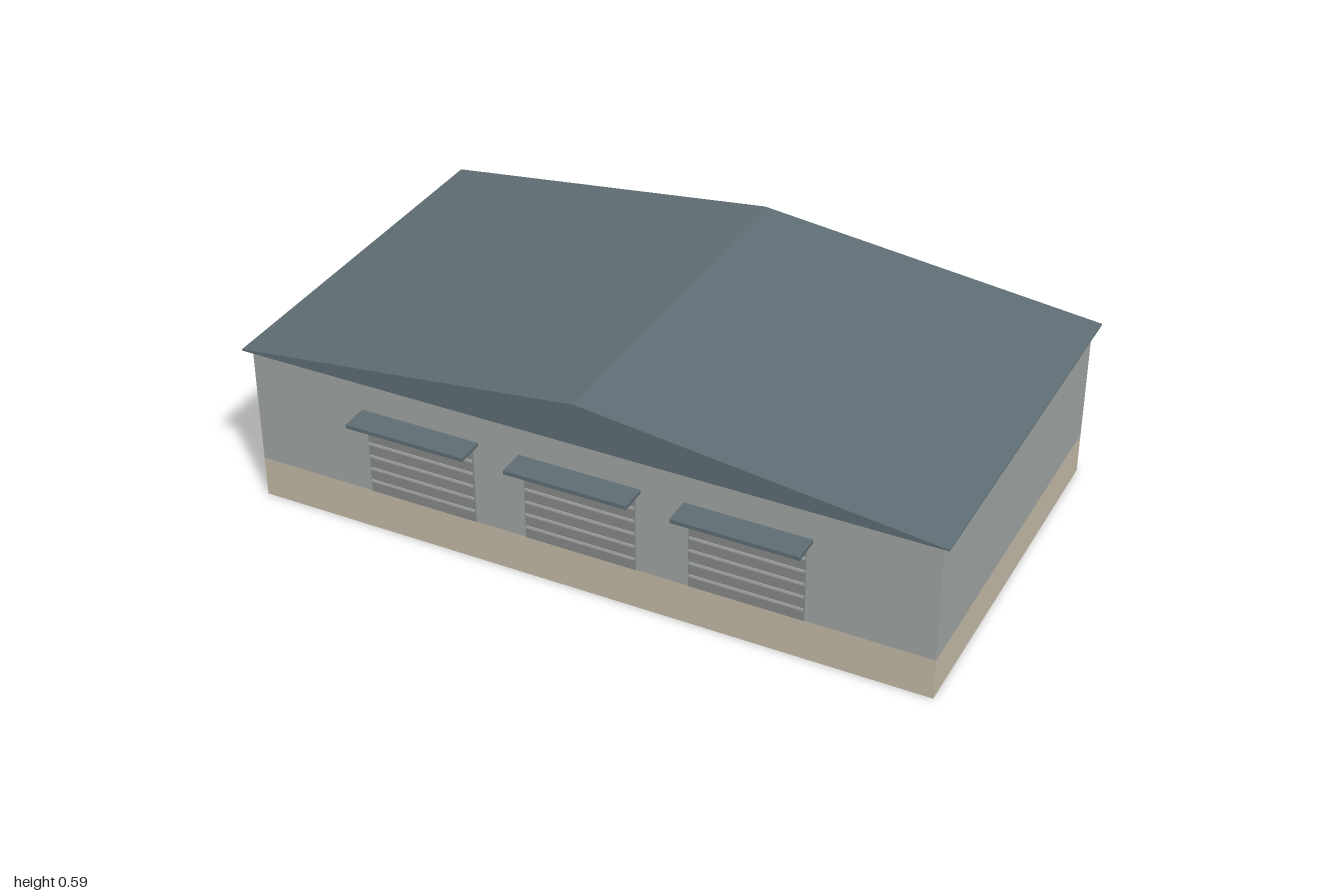
import * as THREE from 'three';

const paint = (color) => new THREE.MeshStandardMaterial({ color, flatShading: true });

export function createModel() {
  const model = new THREE.Group();
  model.name = 'garageBuilding';

  const baseMat = paint(0xc4bba8);
  const wallMat = paint(0xa0a6a4);
  const roofMat = paint(0x5f6e75);
  const doorMat = paint(0x868b89);
  const ribMat = paint(0xacb0ac);

  // Box given by its limits on each axis
  function box(name, mat, [x0, x1], [y0, y1], [z0, z1], parent = model) {
    const mesh = new THREE.Mesh(new THREE.BoxGeometry(x1 - x0, y1 - y0, z1 - z0), mat);
    mesh.position.set((x0 + x1) / 2, (y0 + y1) / 2, (z0 + z1) / 2);
    mesh.name = name;
    parent.add(mesh);
    return mesh;
  }

  // Plinth and walls
  const front = 0.52, back = -0.58;
  box('plinth', baseMat, [-0.98, 0.98], [0, 0.12], [back, front]);
  box('walls', wallMat, [-0.98, 0.98], [0.12, 0.472], [back, front]);

  // Low gable roof with a thin eave edge
  const gable = new THREE.Shape();
  gable.moveTo(-1, 0.47);
  gable.lineTo(1, 0.47);
  gable.lineTo(1, 0.474);
  gable.lineTo(0, 0.59);
  gable.lineTo(-1, 0.474);
  gable.closePath();
  const roofGeo = new THREE.ExtrudeGeometry(gable, { depth: 1.14, bevelEnabled: false });
  roofGeo.translate(0, 0, -0.6);
  const roof = new THREE.Mesh(roofGeo, roofMat);
  roof.name = 'roof';
  model.add(roof);

  // Three roller doors, each with ribs and a flat canopy
  for (const x of [-0.47, 0, 0.47]) {
    const bay = new THREE.Group();
    bay.name = 'doorBay';
    bay.position.x = x;
    model.add(bay);
    box('rollerDoor', doorMat, [-0.16, 0.16], [0.122, 0.366], [front - 0.01, front + 0.004], bay);
    for (let i = 0; i < 6; i++) {
      const y = 0.157 + i * 0.0395;
      box('doorRib', ribMat, [-0.158, 0.158], [y - 0.004, y + 0.004], [front, front + 0.006], bay);
    }
    box('canopy', roofMat, [-0.175, 0.175], [0.364, 0.375], [front - 0.005, 0.6], bay);
  }

  return model;
}
